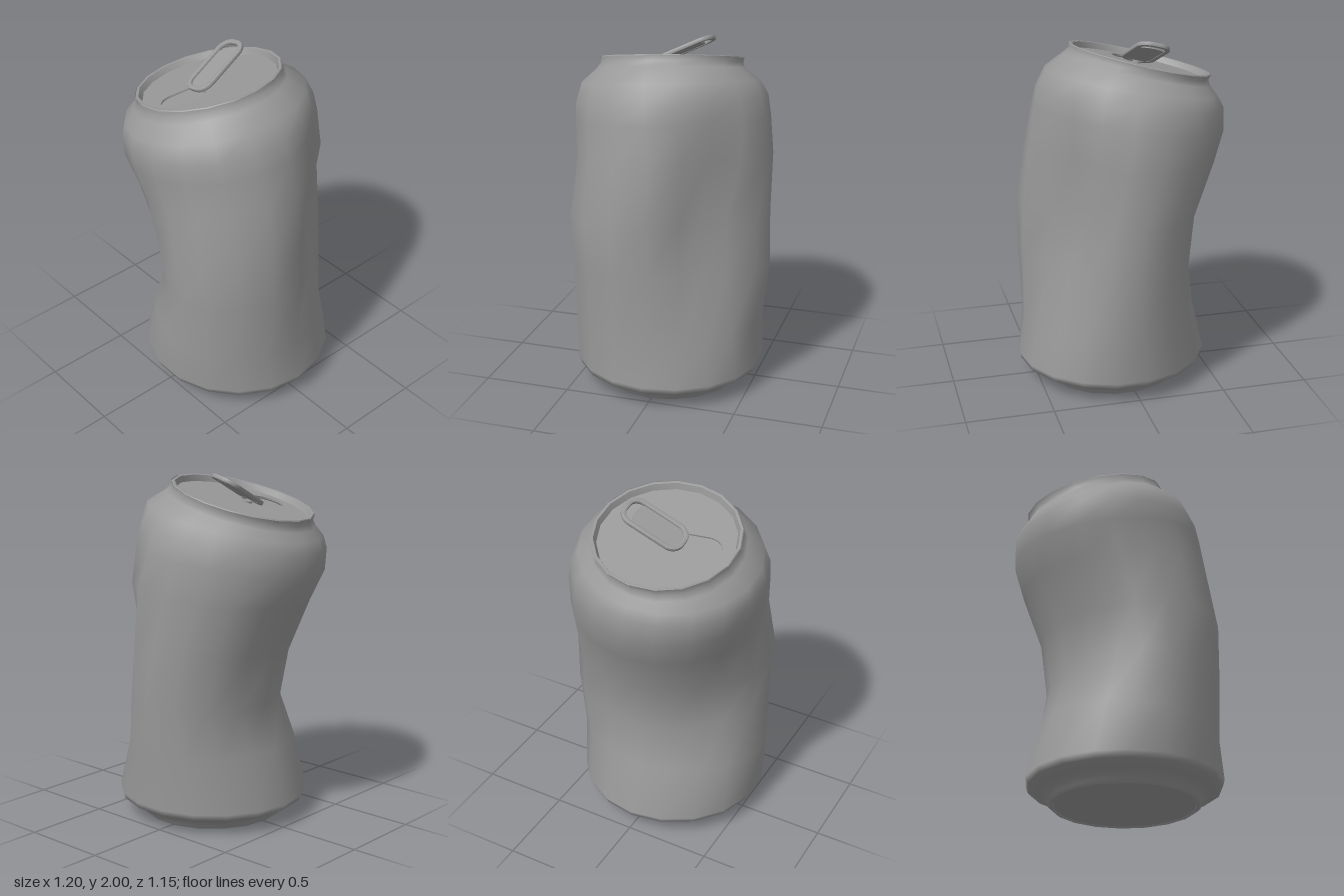
import * as THREE from 'three';
import { toCreasedNormals } from 'three/addons/utils/BufferGeometryUtils.js';

const SIDES = 18;
const material = new THREE.MeshStandardMaterial({ color: 0x999999, side: THREE.DoubleSide });

function add(parent, name, geometry) {
  const mesh = new THREE.Mesh(geometry, material);
  mesh.name = name;
  parent.add(mesh);
  return mesh;
}

// Body rings: low side x, y; high side x, y; back z; front z; tilt along z
const RINGS = [
  [-0.36, 0.003, 0.46, 0.003, -0.4, 0.42, 0],
  [-0.38, 0.02, 0.48, 0.02, -0.415, 0.435, 0],
  [-0.39, 0.045, 0.49, 0.045, -0.43, 0.45, 0],
  [-0.427, 0.07, 0.53, 0.07, -0.465, 0.485, 0],
  [-0.49, 0.1, 0.59, 0.1, -0.525, 0.545, 0],
  [-0.505, 0.135, 0.6, 0.135, -0.54, 0.56, 0],
  [-0.42, 0.45, 0.57, 0.36, -0.54, 0.56, 0],
  [-0.37, 0.7, 0.575, 0.77, -0.58, 0.55, -0.02],
  [-0.42, 1.0, 0.565, 1.06, -0.57, 0.57, -0.04],
  [-0.54, 1.28, 0.525, 1.4, -0.56, 0.55, -0.06],
  [-0.605, 1.45, 0.485, 1.62, -0.53, 0.58, -0.08],
  [-0.605, 1.58, 0.46, 1.72, -0.51, 0.585, -0.08],
  [-0.575, 1.64, 0.4, 1.83, -0.46, 0.565, -0.08],
  [-0.54, 1.69, 0.295, 1.905, -0.365, 0.485, -0.08],
  [-0.525, 1.725, 0.265, 1.93, -0.35, 0.465, -0.08],
  [-0.54, 1.755, 0.26, 1.96, -0.355, 0.465, -0.07],
];

// Dents (negative depth bulges): angle from +x toward +z, height, depth, angular width, vertical reach
const DENTS = [
  [-39, 1.0, 0.19, 28, 0.46],
  [-63, 0.75, 0.06, 18, 0.35],
  [-68, 1.38, -0.035, 18, 0.2],
  [10, 1.0, -0.03, 16, 0.4],
  [128, 0.85, 0.085, 28, 0.38],
  [-135, 0.75, -0.05, 25, 0.4],
  [48, 1.0, -0.03, 25, 0.5],
];

function dentDepth(deg, y) {
  let sum = 0;
  for (const [angle, height, depth, width, reach] of DENTS) {
    const d = ((deg - angle + 540) % 360) - 180;
    sum += depth * Math.exp(-((d / width) ** 2) - ((y - height) / reach) ** 2);
  }
  return sum;
}

function bodyGeometry() {
  const positions = [];
  const index = [];
  RINGS.forEach(([xL, yL, xR, yR, zB, zF, tilt], i) => {
    const cx = (xL + xR) / 2, rx = (xR - xL) / 2;
    const cz = (zB + zF) / 2, rz = (zF - zB) / 2;
    const cy = (yL + yR) / 2;
    // the base and neck stay round
    const dented = i > 5 && i < 12;
    for (let j = 0; j < SIDES; j++) {
      const deg = (j * 360) / SIDES;
      const a = THREE.MathUtils.degToRad(deg);
      const c = Math.cos(a), s = Math.sin(a);
      const dent = dented ? dentDepth(deg, cy) : 0;
      positions.push(
        cx + c * (rx - dent),
        cy + (c * (yR - yL)) / 2 + tilt * s * rz,
        cz + s * (rz - dent)
      );
      if (i < RINGS.length - 1) {
        const p = i * SIDES + j, q = i * SIDES + ((j + 1) % SIDES);
        index.push(p, p + SIDES, q, q, p + SIDES, q + SIDES);
      }
    }
  });
  const geometry = new THREE.BufferGeometry();
  geometry.setAttribute('position', new THREE.Float32BufferAttribute(positions, 3));
  geometry.setIndex(index);
  geometry.computeVertexNormals();
  return geometry;
}

// Turned part whose corners line up with the body
function turned(points) {
  const lathe = new THREE.LatheGeometry(points.map(([r, y]) => new THREE.Vector2(r, y)), SIDES);
  return toCreasedNormals(lathe.rotateY(Math.PI / 2), 0.5);
}

// Rectangle with rounded corners
function roundedRect(Type, halfWidth, halfLength, radius) {
  const path = new Type();
  const x = halfWidth - radius, y = halfLength - radius;
  [[x, y], [-x, y], [-x, -y], [x, -y]].forEach(([cx, cy], k) => {
    path.absarc(cx, cy, radius, (k * Math.PI) / 2, ((k + 1) * Math.PI) / 2, false);
  });
  path.closePath();
  return path;
}

// Teardrop outline of the mouth, narrow under the tab
function mouth(Type, grow) {
  const path = new Type();
  path.moveTo(-0.065 - grow, -0.08);
  path.lineTo(0.075 + grow, -0.08);
  path.absarc(0.003, -0.222, 0.098 + grow, 0.2, -Math.PI - 0.2, true);
  path.closePath();
  return path;
}

function flat(shape, depth) {
  return new THREE.ExtrudeGeometry(shape, { depth, bevelEnabled: false, curveSegments: 10 })
    .rotateX(-Math.PI / 2);
}

export function createModel() {
  const can = new THREE.Group();
  can.name = 'crushedCan';

  add(can, 'body', bodyGeometry());

  // Base with a shallow recess
  add(can, 'base', turned([[0, 0.01], [0.392, 0.01], [0.4, 0], [0.41, 0.003]]))
    .position.set(0.05, 0, 0.01);

  // Tilted top
  const top = new THREE.Group();
  top.name = 'top';
  top.position.set(-0.14, 1.855, 0.055);
  top.quaternion.setFromUnitVectors(
    new THREE.Vector3(0, 1, 0),
    new THREE.Vector3(-0.256, 1, 0.07).normalize()
  );
  can.add(top);

  add(top, 'rim', turned([[0.413, 0], [0.408, 0.006], [0.394, 0.004], [0.378, -0.035]]));

  // Lid disc with the mouth cut out
  const lidShape = new THREE.Shape();
  for (let j = 0; j < SIDES; j++) {
    const a = (j / SIDES) * Math.PI * 2;
    lidShape[j ? 'lineTo' : 'moveTo'](0.381 * Math.cos(a), 0.381 * Math.sin(a));
  }
  lidShape.closePath();
  lidShape.holes.push(mouth(THREE.Path, 0));
  add(top, 'lid', flat(lidShape, 0.01)).position.y = -0.04;

  // Mouth panel pushed slightly down
  const panel = add(top, 'mouthPanel', flat(mouth(THREE.Shape, 0.006), 0.006));
  panel.position.y = -0.046;
  panel.rotation.x = 0.02;

  // Pull tab, lifted at the back
  const tab = new THREE.Group();
  tab.name = 'pullTab';
  tab.position.set(-0.004, 0.047, -0.066);
  tab.rotation.set(0.38, 0, 0);
  top.add(tab);

  const loop = roundedRect(THREE.Shape, 0.09, 0.186, 0.072);
  loop.holes.push(roundedRect(THREE.Path, 0.074, 0.17, 0.058));
  const loopGeometry = new THREE.ExtrudeGeometry(loop, {
    depth: 0.012, bevelThickness: 0.006, bevelSize: 0.006, bevelSegments: 2, curveSegments: 6,
  }).rotateX(-Math.PI / 2);
  add(tab, 'tabLoop', toCreasedNormals(loopGeometry, 0.7)).position.y = -0.006;

  // Web filling the loop, leaving a finger gap at the back
  const web = new THREE.Shape();
  web.moveTo(0.074, 0.1);
  web.quadraticCurveTo(0, 0.15, -0.074, 0.1);
  web.lineTo(-0.074, -0.112);
  web.absarc(-0.016, -0.112, 0.058, Math.PI, Math.PI * 1.5, false);
  web.absarc(0.016, -0.112, 0.058, Math.PI * 1.5, Math.PI * 2, false);
  web.closePath();
  add(tab, 'tabWeb', flat(web, 0.006)).position.y = -0.008;

  // Rivet holding the tab to the lid
  add(top, 'rivet', new THREE.CylinderGeometry(0.025, 0.025, 0.02, 12))
    .position.set(0, -0.029, 0.05);

  return can;
}
